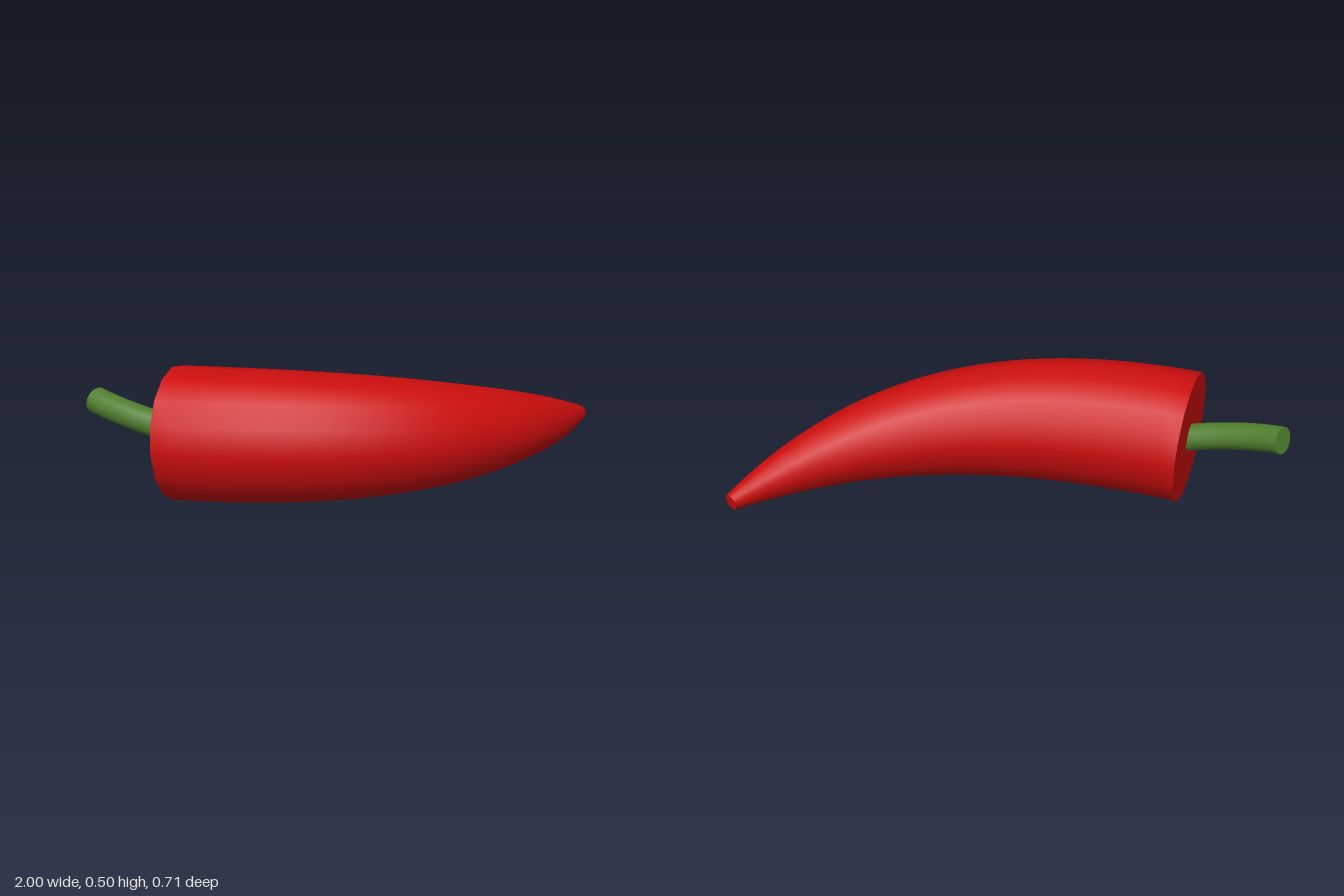
import * as THREE from 'three';

const V = (x, y, z) => new THREE.Vector3(x, y, z);

// Round sweep along a curve with a varying radius and flat, hard-edged caps
function sweep(curve, radiusAt, rings, sides) {
  const pos = [], idx = [];
  const addRing = (t) => {
    const c = curve.getPoint(t), tan = curve.getTangent(t), r = radiusAt(t);
    const side = V(0, 0, 0).crossVectors(tan, V(0, 1, 0)).normalize();
    const up = V(0, 0, 0).crossVectors(side, tan);
    const start = pos.length / 3;
    for (let j = 0; j < sides; j++) {
      const a = (j / sides) * Math.PI * 2;
      const p = c.clone().addScaledVector(side, r * Math.cos(a)).addScaledVector(up, r * Math.sin(a));
      pos.push(p.x, p.y, p.z);
    }
    return start;
  };
  // Side wall
  for (let i = 0; i <= rings; i++) addRing(i / rings);
  for (let i = 0; i < rings; i++) {
    for (let j = 0; j < sides; j++) {
      const a = i * sides + j, b = i * sides + ((j + 1) % sides);
      idx.push(a, a + sides, b, b, a + sides, b + sides);
    }
  }
  // Caps have their own vertices so the rims stay sharp
  for (const t of [0, 1]) {
    const s = addRing(t);
    for (let j = 1; j < sides - 1; j++) {
      if (t === 0) idx.push(s, s + j, s + j + 1);
      else idx.push(s, s + j + 1, s + j);
    }
  }
  const g = new THREE.BufferGeometry();
  g.setAttribute('position', new THREE.Float32BufferAttribute(pos, 3));
  g.setIndex(idx);
  g.computeVertexNormals();
  return g;
}

export function createModel() {
  const group = new THREE.Group();
  const red = new THREE.MeshStandardMaterial({ name: 'pepper red', color: 0xcb0d0d });
  const green = new THREE.MeshStandardMaterial({ name: 'stem green', color: 0x507e2e });

  // Curved, tapering pod
  const podCurve = new THREE.QuadraticBezierCurve3(
    V(-0.667, 0.249, -0.005), V(0.358, 0.277, 0.372), V(0.978, 0.15, -0.336));
  const pod = new THREE.Mesh(sweep(podCurve, (t) => 0.247 - 0.217 * Math.pow(t, 2.15), 32, 16), red);
  pod.name = 'pod';

  // Bent stem
  const stemCurve = new THREE.QuadraticBezierCurve3(
    V(-0.645, 0.247, -0.003), V(-0.846, 0.3, -0.063), V(-0.967, 0.333, -0.175));
  const stem = new THREE.Mesh(sweep(stemCurve, () => 0.05, 12, 16), green);
  stem.name = 'stem';

  group.add(pod, stem);
  return group;
}
